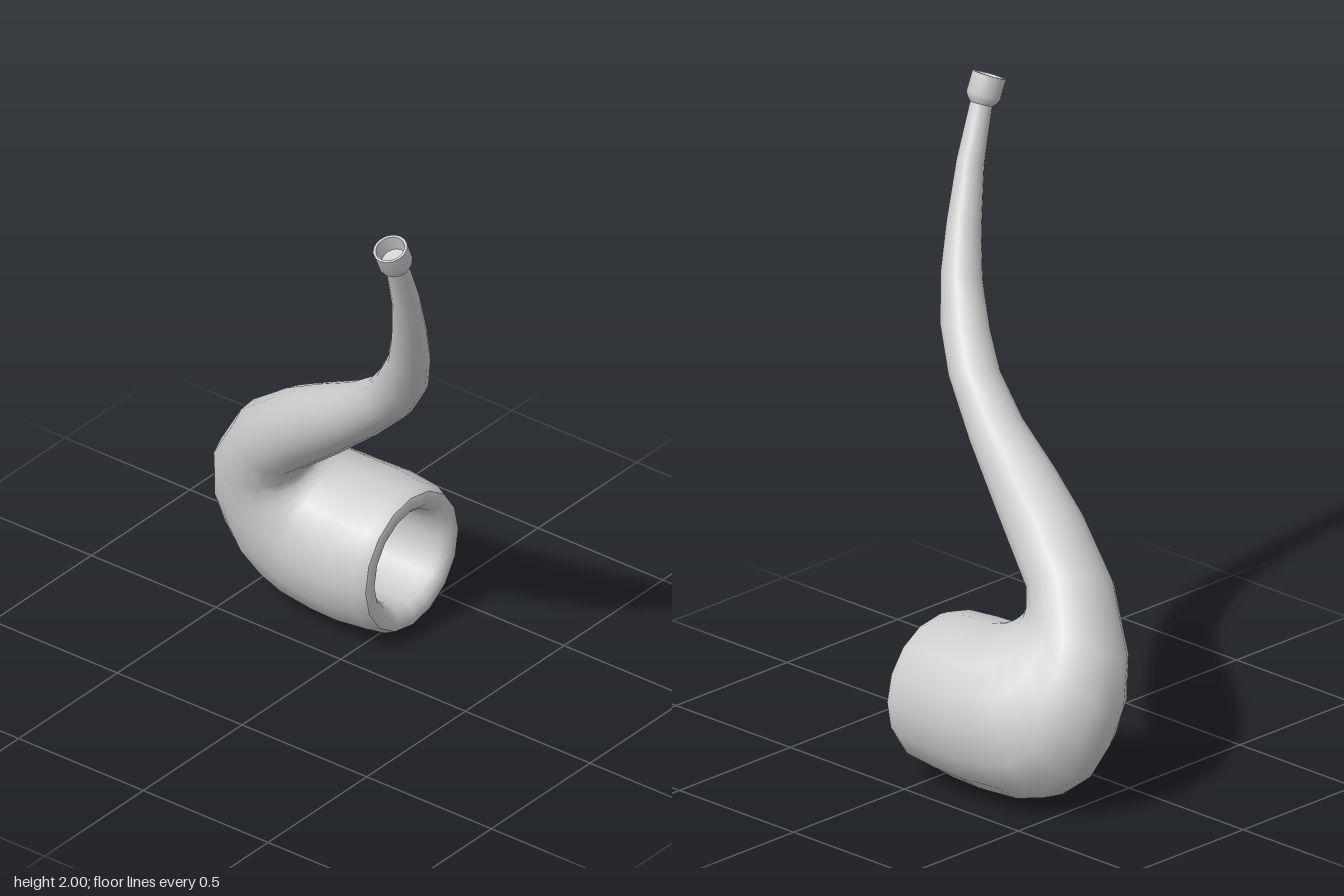
import * as THREE from 'three';
import { toCreasedNormals } from 'three/addons/utils/BufferGeometryUtils.js';

const SIDES = 16;
const material = new THREE.MeshStandardMaterial({ color: 0xcccccc, side: THREE.DoubleSide });

// Skin elliptical rings, each given by its inner point, outer point (y, z) and half width in x
function sweep(rings) {
  const positions = [], index = [];
  rings.forEach(([iy, iz, oy, oz, half], i) => {
    for (let j = 0; j < SIDES; j++) {
      const t = (j / SIDES) * Math.PI * 2, c = Math.cos(t) / 2;
      positions.push(
        Math.sin(t) * half,
        (iy + oy) / 2 + c * (iy - oy),
        (iz + oz) / 2 + c * (iz - oz));
      if (i < rings.length - 1) {
        const a = i * SIDES + j, b = i * SIDES + (j + 1) % SIDES;
        index.push(a, b, a + SIDES, b, b + SIDES, a + SIDES);
      }
    }
  });
  const geometry = new THREE.BufferGeometry();
  geometry.setAttribute('position', new THREE.Float32BufferAttribute(positions, 3));
  geometry.setIndex(index);
  geometry.computeVertexNormals();
  return geometry;
}

function lathe(profile) {
  return new THREE.LatheGeometry(profile.map(([r, y]) => new THREE.Vector2(r, y)), SIDES);
}

export function createModel() {
  const model = new THREE.Group();
  model.name = 'pipe';

  // The whole pipe lies in one plane, leaning sideways about the bowl axis
  const pipe = new THREE.Group();
  pipe.name = 'leaningPipe';
  pipe.position.set(0.26, 0.268, 0);
  pipe.rotation.z = 0.41;
  model.add(pipe);

  const add = (name, geometry) => {
    const mesh = new THREE.Mesh(geometry, material);
    mesh.name = name;
    pipe.add(mesh);
    return mesh;
  };

  // Bowl wall, tight bend and tapering stem as one smooth skin
  add('bowlAndStem', sweep([
    [0.235, 0.08, -0.235, 0.08, 0.235],
    [0.252, 0.045, -0.252, 0.045, 0.252],
    [0.262, -0.07, -0.264, -0.08, 0.264],
    [0.265, -0.14, -0.268, -0.2, 0.26],
    [0.282, -0.19, -0.258, -0.36, 0.25],
    [0.298, -0.21, -0.225, -0.47, 0.235],
    [0.31, -0.218, -0.14, -0.57, 0.217],
    [0.32, -0.22, -0.02, -0.62, 0.195],
    [0.33, -0.22, 0.11, -0.638, 0.175],
    [0.342, -0.215, 0.27, -0.6, 0.157],
    [0.375, -0.2, 0.495, -0.45, 0.141],
    [0.46, -0.1, 0.66, -0.26, 0.126],
    [0.55, 0, 0.77, -0.1, 0.111],
    [0.74, 0.2, 0.88, 0.08, 0.094],
    [0.92, 0.37, 0.995, 0.22, 0.083],
    [1.07, 0.47, 1.1, 0.3, 0.075],
    [1.232, 0.53, 1.245, 0.39, 0.066],
    [1.385, 0.565, 1.39, 0.45, 0.058],
    [1.58, 0.6, 1.583, 0.51, 0.046],
    [1.756, 0.615, 1.756, 0.54, 0.037],
    [1.8, 0.617, 1.8, 0.545, 0.036],
  ]));

  // Rounded rim rolling into the hollow chamber
  const chamber = lathe([
    [0.235, 0.08], [0.215, 0.086], [0.19, 0.08], [0.17, 0.06], [0.16, 0.02],
    [0.157, -0.1], [0.145, -0.23], [0.1, -0.32], [0.05, -0.35], [0, -0.36],
  ]);
  chamber.rotateX(Math.PI / 2);
  add('rimAndChamber', chamber);

  // Hollow mouthpiece collar at the stem tip
  const collar = add('mouthpiece', toCreasedNormals(lathe([
    [0.036, 1.765], [0.051, 1.782], [0.056, 1.795], [0.056, 1.862],
    [0.047, 1.862], [0.04, 1.81], [0, 1.805],
  ]), 0.7));
  collar.position.z = 0.58;

  return model;
}
